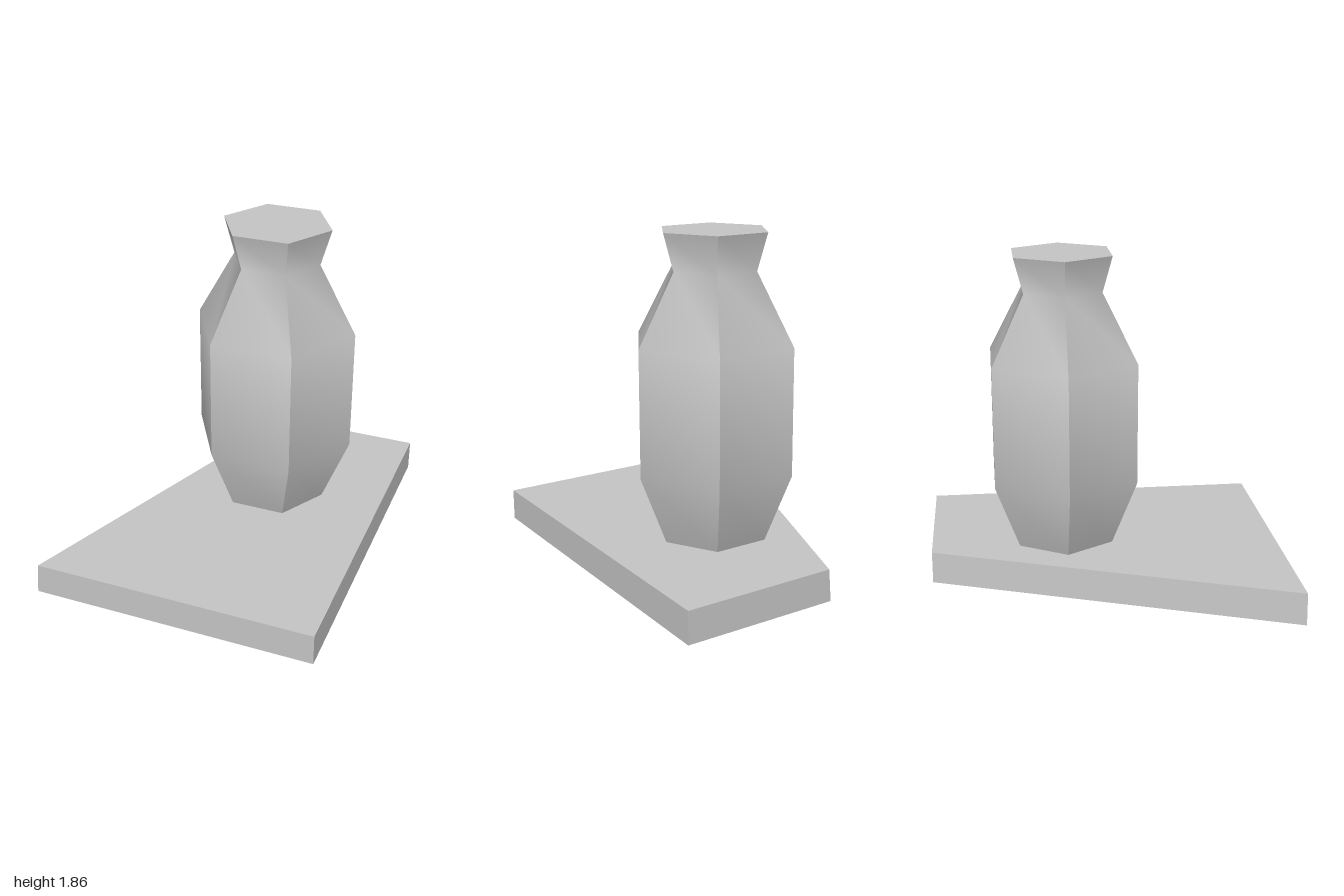
import * as THREE from 'three';
import { toCreasedNormals } from 'three/addons/utils/BufferGeometryUtils.js';

export function createModel() {
  const group = new THREE.Group();
  const stone = new THREE.MeshStandardMaterial({ color: 0xc4c4c4 });
  stone.name = 'lightGrey';

  // Plinth: a slab whose left side runs diagonally and leans slightly inward
  const height = 0.18;
  const slab = new THREE.BoxGeometry(1.6, height, 2);
  slab.translate(0, height / 2, 0);
  const pos = slab.attributes.position;
  for (let i = 0; i < pos.count; i++) {
    if (pos.getX(i) > 0) continue;
    const lean = pos.getY(i) > height / 2 ? 0.015 : 0;
    pos.setX(i, (pos.getZ(i) > 0 ? -0.803 : -0.075) + lean);
  }
  slab.computeVertexNormals();
  const plinth = new THREE.Mesh(slab, stone);
  plinth.name = 'plinth';
  group.add(plinth);

  // Vase: six-sided, softly shaded along its height, crisp between sides, closed top
  const profile = [
    [0.31, 0.18], [0.465, 0.57], [0.465, 1.27], [0.25, 1.655], [0.31, 1.86], [0, 1.86],
  ].map(([r, y]) => new THREE.Vector2(r, y));
  const body = new THREE.LatheGeometry(profile, 6, Math.PI / 2);
  const vase = new THREE.Mesh(toCreasedNormals(body, 0.85), stone);
  vase.name = 'vase';
  vase.position.set(0.136, 0, -0.225);
  group.add(vase);

  return group;
}
